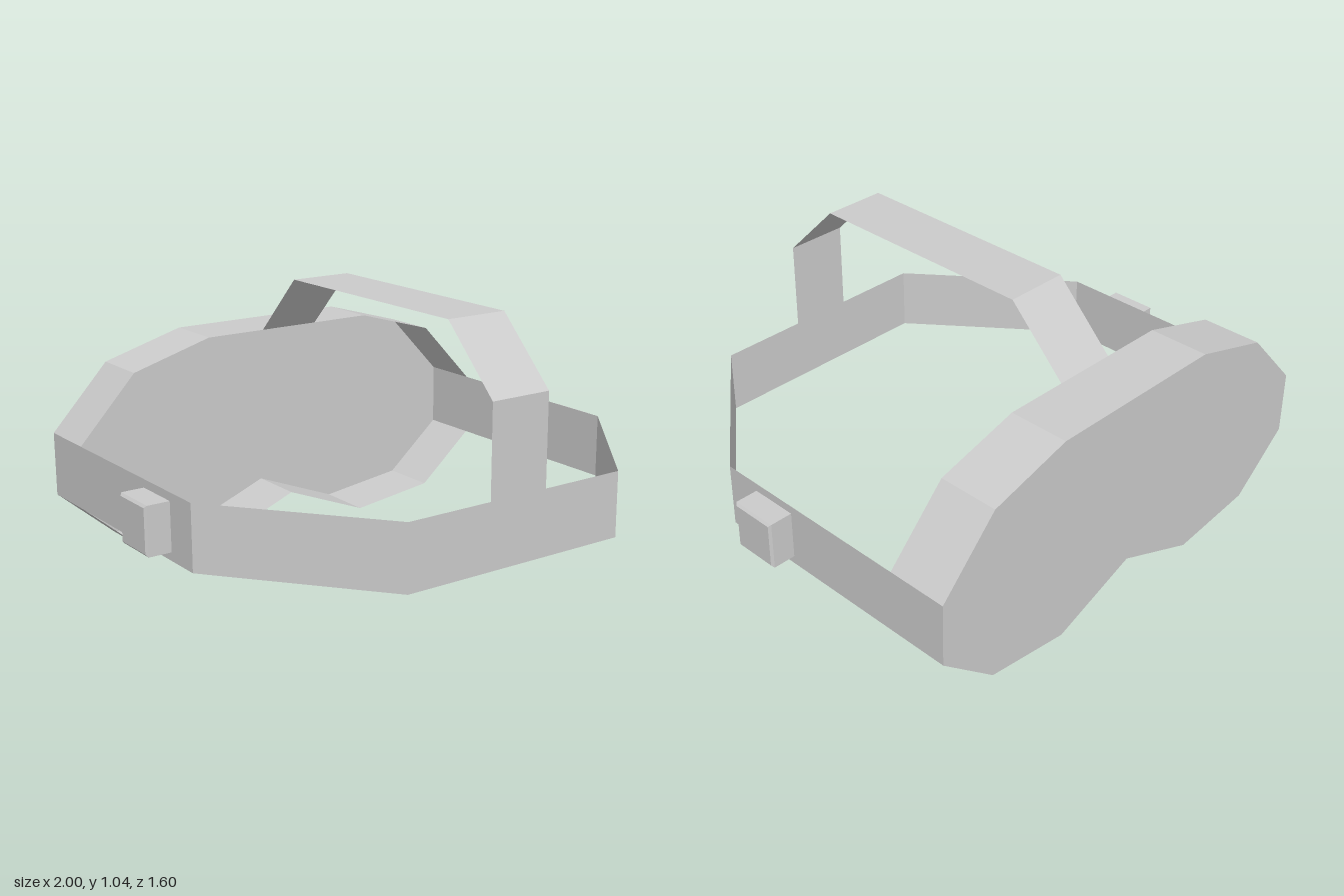
import * as THREE from 'three';

const material = new THREE.MeshStandardMaterial({
  color: 0xcccccc, flatShading: true, side: THREE.DoubleSide,
});

// Thin strip: a path of [x, y, z] points swept sideways by a width vector
function ribbon(path, width) {
  const positions = [];
  for (let i = 0; i < path.length - 1; i++) {
    const a = path[i], b = path[i + 1];
    const c = b.map((v, k) => v + width[k]);
    const d = a.map((v, k) => v + width[k]);
    positions.push(...a, ...b, ...c, ...a, ...c, ...d);
  }
  const geometry = new THREE.BufferGeometry();
  geometry.setAttribute('position', new THREE.Float32BufferAttribute(positions, 3));
  geometry.computeVertexNormals();
  return geometry;
}

export function createModel() {
  const model = new THREE.Group();
  model.name = 'headset';
  const add = (name, geometry) => {
    const mesh = new THREE.Mesh(geometry, material);
    mesh.name = name;
    model.add(mesh);
    return mesh;
  };

  const backZ = -0.8, rimZ = -0.57, frontZ = 0.795;
  const bandLow = 0.245, bandHigh = 0.487;

  // Visor outline, counter-clockwise from the centre notch
  const half = [[0.34, 0.005], [0.68, 0.05], [0.907, bandLow],
    [0.907, bandHigh], [0.68, 0.73], [0.36, 0.822]];
  const outline = [[0, 0.14], ...half,
    ...half.slice().reverse().map(([x, y]) => [-x, y])];

  // Visor: flat panel plus a rim that is open towards the strap
  const panel = new THREE.ShapeGeometry(
    new THREE.Shape(outline.map(([x, y]) => new THREE.Vector2(x, y))));
  panel.rotateY(Math.PI).translate(0, 0, backZ);
  add('visorPanel', panel);
  add('visorRim', ribbon([...outline, outline[0]].map(([x, y]) => [x, y, backZ]),
    [0, 0, rimZ - backZ]));

  // Strap round the head
  const side = [[0.455, frontZ], [0.907, 0.23], [0.907, rimZ]];
  const plan = [...side.slice().reverse().map(([x, z]) => [-x, z]), ...side];
  add('headStrap', ribbon(plan.map(([x, z]) => [x, bandLow, z]),
    [0, bandHigh - bandLow, 0]));

  // Strap over the head
  const over = [[bandHigh, frontZ], [0.822, frontZ], [1.05, 0.565],
    [1.05, -0.345], [0.822, rimZ]];
  add('topStrap', ribbon(over.map(([y, z]) => [0.12, y, z]), [-0.24, 0, 0]));

  // Square side buckles with a small chamfer on the outer face
  const r = Math.SQRT2;
  const profile = [[0.09 * r, 0.907], [0.09 * r, 0.992], [0.081 * r, 1], [0, 1]]
    .map(([x, y]) => new THREE.Vector2(x, y));
  for (const s of [1, -1]) {
    const buckle = new THREE.LatheGeometry(profile, 4, Math.PI / 4);
    buckle.rotateZ(-s * Math.PI / 2).translate(0, 0.366, 0);
    add(s > 0 ? 'leftBuckle' : 'rightBuckle', buckle);
  }
  return model;
}
